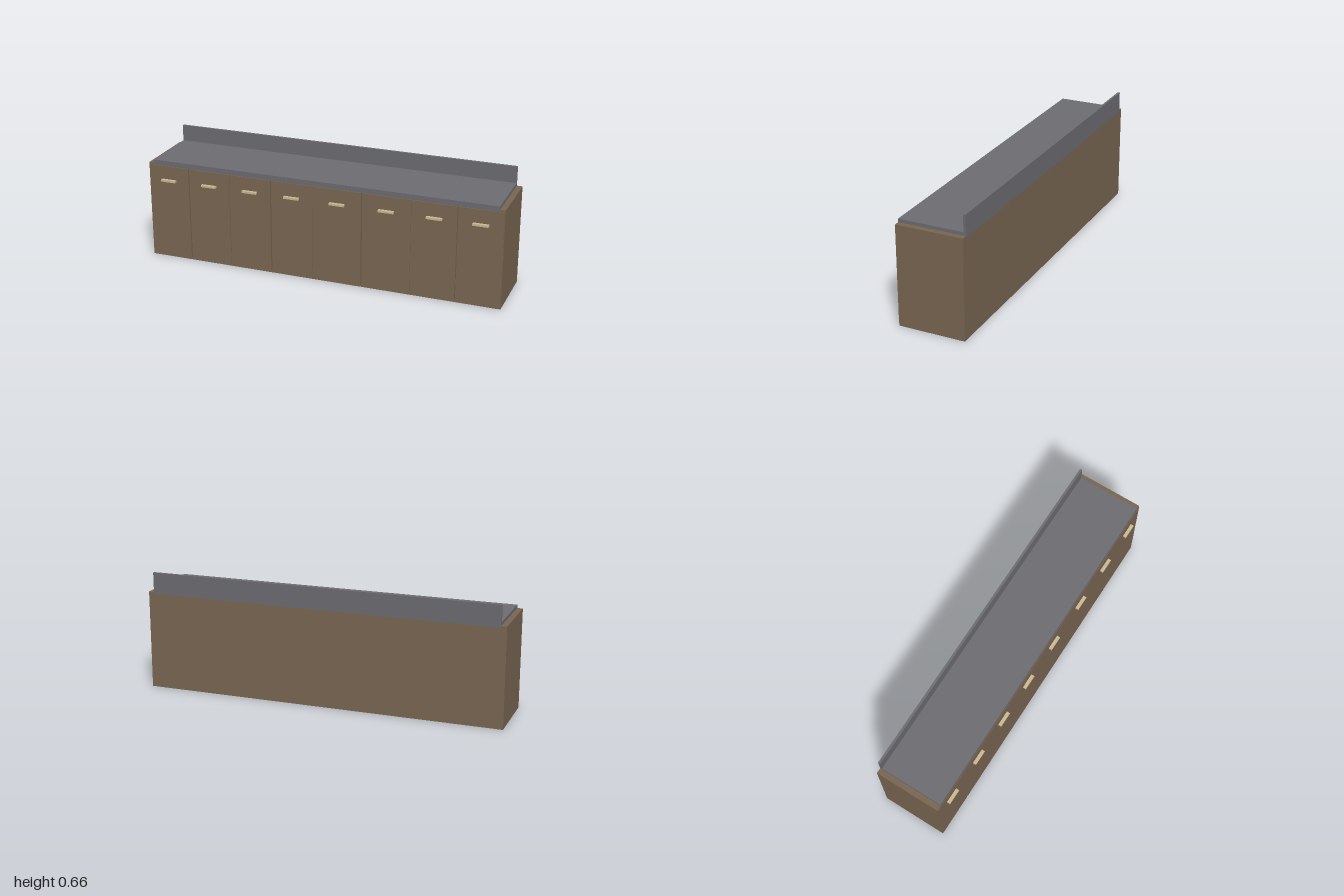
import * as THREE from 'three';

const wood = new THREE.MeshStandardMaterial({ color: 0x7a6753 });
const stone = new THREE.MeshStandardMaterial({ color: 0x6e6d72 });
const brass = new THREE.MeshStandardMaterial({ color: 0xcdbb92 });

// Box given by its minimum and maximum on each axis
function box(name, material, [x0, x1], [y0, y1], [z0, z1]) {
  const mesh = new THREE.Mesh(new THREE.BoxGeometry(x1 - x0, y1 - y0, z1 - z0), material);
  mesh.position.set((x0 + x1) / 2, (y0 + y1) / 2, (z0 + z1) / 2);
  mesh.name = name;
  return mesh;
}

export function createModel() {
  const model = new THREE.Group();
  model.name = 'kitchenCounter';
  const back = -0.192, front = 0.172, inner = 0.97;

  // Carcass: end panels, back, floor and the plinth behind the doors
  const carcass = new THREE.Group();
  carcass.name = 'carcass';
  for (const s of [-1, 1]) {
    const span = s < 0 ? [-1, -inner] : [inner, 1];
    carcass.add(box(s < 0 ? 'rightEndPanel' : 'leftEndPanel', wood, span, [0, 0.547], [back, front]));
  }
  carcass.add(box('backPanel', wood, [-inner, inner], [0, 0.536], [back, back + 0.02]));
  carcass.add(box('floorPanel', wood, [-inner, inner], [0, 0.012], [back + 0.02, front]));
  carcass.add(box('plinth', wood, [-inner, inner], [0.012, 0.065], [0.13, 0.156]));

  // Dividers between the double cabinets
  for (const x of [-0.515, -0.032, 0.512]) {
    carcass.add(box('divider', wood, [x - 0.012, x + 0.012], [0.012, 0.536], [back + 0.02, front - 0.002]));
  }
  model.add(carcass);

  // Eight doors, each with a bar handle
  const seams = [-1, -0.759, -0.515, -0.275, -0.032, 0.24, 0.512, 0.757, 1];
  for (let i = 0; i < seams.length - 1; i++) {
    const x0 = seams[i] + 0.003, x1 = seams[i + 1] - 0.003, mid = (x0 + x1) / 2;
    const zBack = i === 0 || i === 7 ? front : 0.157;
    const door = new THREE.Group();
    door.name = 'door' + (i + 1);
    // The outer doors overlap the end panels, so their thick core stops short
    if (zBack === front) {
      const core = i === 0 ? [-inner, x1] : [x0, inner];
      door.add(box('doorCore', wood, core, [0.012, 0.535], [0.157, front]));
    }
    door.add(box('doorPanel', wood, [x0, x1], [0.012, 0.535], [zBack, 0.175]));
    door.add(box('handle', brass, [mid - 0.042, mid + 0.042], [0.45, 0.461], [0.175, 0.193]));
    model.add(door);
  }

  // Worktop set between the end panels, with an upstand along the back
  model.add(box('worktop', stone, [-inner, inner], [0.536, 0.565], [back, front + 0.001]));
  model.add(box('backsplash', stone, [-inner, inner], [0.565, 0.656], [back, -0.179]));
  return model;
}
